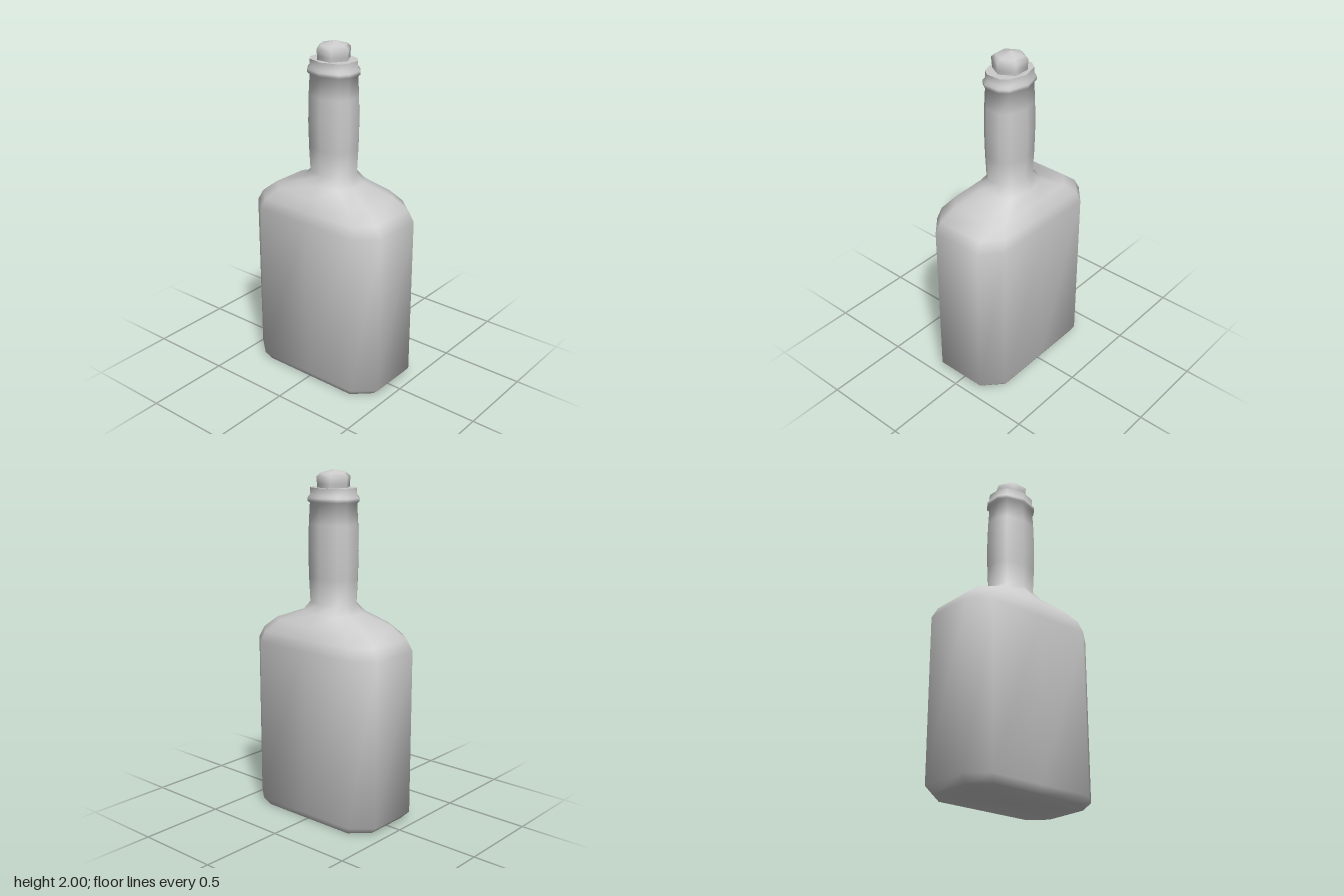
import * as THREE from 'three';
import { toCreasedNormals } from 'three/addons/utils/BufferGeometryUtils.js';

const material = new THREE.MeshStandardMaterial({ color: 0xcccccc });

// Ten-sided ring: w = half width, d = half depth at the middle,
// (cx, dc) = start of the corner cut, cz = half length of the short side.
function ring([y, w, d, cx, dc, cz]) {
  const half = [[0, d], [cx, dc], [w, cz], [w, -cz], [cx, -dc]];
  return [...half, ...half.map(([x, z]) => [-x, -z])].map(([x, z]) => [x, y, z]);
}

// Skin a stack of rings from bottom to top and close both ends.
function loft(sections) {
  const rings = sections.map(ring);
  const n = rings[0].length;
  const points = rings.flat();
  const index = [];
  for (let r = 0; r < rings.length - 1; r++) {
    for (let i = 0; i < n; i++) {
      const a = r * n + i, b = r * n + (i + 1) % n;
      index.push(a, b, b + n, a, b + n, a + n);
    }
  }
  const bottom = points.length, top = bottom + 1, last = (rings.length - 1) * n;
  points.push([0, sections[0][0], 0], [0, sections.at(-1)[0], 0]);
  for (let i = 0; i < n; i++) {
    const j = (i + 1) % n;
    index.push(bottom, j, i, top, last + i, last + j);
  }
  const geometry = new THREE.BufferGeometry();
  geometry.setAttribute('position', new THREE.Float32BufferAttribute(points.flat(), 3));
  geometry.setIndex(index);
  return toCreasedNormals(geometry, 1.2);
}

// Neck section: an elongated decagon with fixed proportions.
const neck = (y, w, d) => [y, w, d, w * 0.76, d * 0.74, w * 0.32];

export function createModel() {
  const group = new THREE.Group();
  const add = (name, geometry) => {
    const mesh = new THREE.Mesh(geometry, material);
    mesh.name = name;
    group.add(mesh);
  };

  // Flat body, shoulders, neck and lip in one skin
  add('bottle', loft([
    [0, 0.405, 0.228, 0.305, 0.228, 0.135],
    [0.045, 0.45, 0.255, 0.335, 0.255, 0.155],
    [1.01, 0.45, 0.255, 0.335, 0.255, 0.155],
    [1.075, 0.415, 0.245, 0.31, 0.24, 0.145],
    [1.14, 0.335, 0.2, 0.25, 0.19, 0.115],
    [1.203, 0.17, 0.153, 0.13, 0.125, 0.065],
    neck(1.255, 0.132, 0.115),
    neck(1.4, 0.139, 0.121),
    neck(1.55, 0.142, 0.124),
    neck(1.7, 0.138, 0.121),
    neck(1.815, 0.132, 0.115),
    neck(1.825, 0.145, 0.126),
    neck(1.845, 0.145, 0.126),
    neck(1.86, 0.131, 0.115),
    neck(1.9, 0.131, 0.115),
  ]));

  // Six-sided domed stopper
  const profile = [[0.094, 1.88], [0.096, 1.92], [0.1, 1.96], [0.078, 1.98], [0, 2]]
    .map(([x, y]) => new THREE.Vector2(x, y));
  add('stopper', new THREE.LatheGeometry(profile, 6, Math.PI / 2));

  return group;
}
